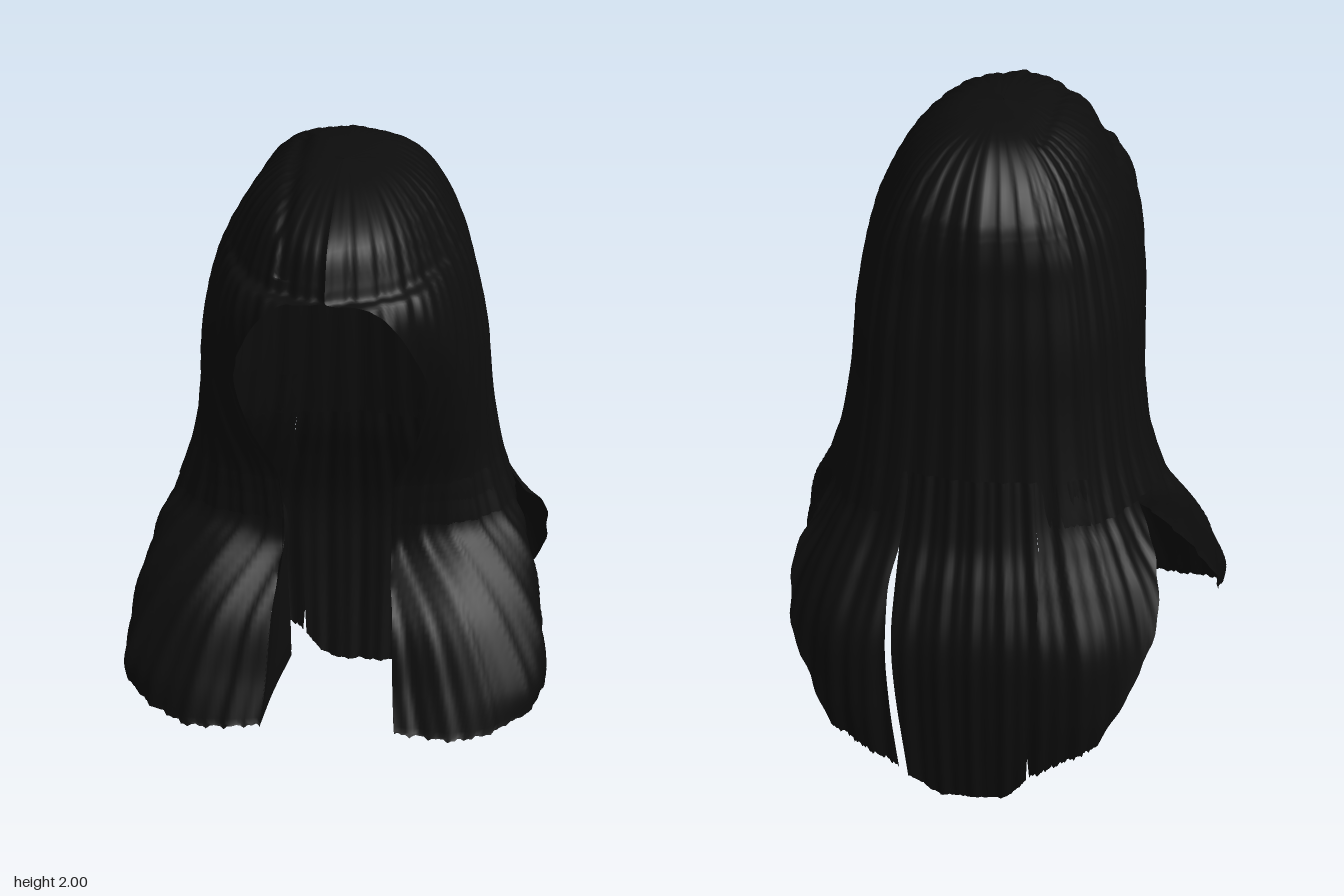
import * as THREE from 'three';

const hair = new THREE.MeshStandardMaterial({ color: 0x0d0d0d, side: THREE.DoubleSide });
hair.name = 'black hair';

// Fine vertical strands: a radial ripple that depends on the angle round the head
function strand(p) {
  const d = Math.hypot(p.x, p.z);
  const a = Math.atan2(p.x, p.z);
  const r = (0.004 * Math.sin(34 * a) + 0.003 * Math.sin(71 * a + 1)) * Math.min(1, d / 0.35);
  if (d > 1e-4) {
    p.x += (p.x / d) * r;
    p.z += (p.z / d) * r;
  }
  // side parting on the crown
  if (p.y > 1.8 && p.z > -0.1) p.y -= 0.018 * Math.exp(-(((p.x + 0.14) / 0.02) ** 2));
  return p;
}

// Smooth sheet through rows of [x, y, z] points; side = -1 mirrors it, 0 spans both halves
function sheet(name, rows, side, { nu = 60, nv = 44, hem = 0.015, ripple = true } = {}) {
  const across = rows.map(r => new THREE.CatmullRomCurve3(r.map(p => new THREE.Vector3(...p))));
  const pos = [], idx = [];
  for (let i = 0; i <= nu; i++) {
    const down = new THREE.CatmullRomCurve3(across.map(c => c.getPoint(i / nu)));
    for (let j = 0; j <= nv; j++) {
      const p = down.getPoint(j / nv);
      if (side !== 0) p.x = Math.max(0, p.x) * side;
      if (ripple) strand(p);
      // ragged tips
      if (j === nv) p.y += hem * (0.5 + 0.5 * Math.sin(i * 1.9) * Math.cos(i * 0.7));
      pos.push(p.x, p.y, p.z);
      if (i < nu && j < nv) {
        const a = i * (nv + 1) + j, b = a + nv + 1;
        if (side < 0) idx.push(a, b, a + 1, b, b + 1, a + 1);
        else idx.push(a, a + 1, b, b, a + 1, b + 1);
      }
    }
  }
  const g = new THREE.BufferGeometry();
  g.setAttribute('position', new THREE.Float32BufferAttribute(pos, 3));
  g.setIndex(idx);
  g.computeVertexNormals();
  const m = new THREE.Mesh(g, hair);
  m.name = name;
  return m;
}

// Level row from [x, z] pairs
const level = (y, ...pts) => pts.map(([x, z]) => [x, y, z]);

// Half outline of the head: front edge, temple, side, behind ear, back corner, back centre
const headRow = ([y, frontX, frontZ, width, sideZ, backZ]) => {
  const back = t => sideZ + (backZ - sideZ) * t;
  return level(y,
    [frontX, frontZ],
    [frontX + (width - frontX) * 0.65, frontZ + (sideZ - frontZ) * 0.27],
    [width, sideZ],
    [width * 0.93, back(0.45)],
    [width * 0.73, back(0.83)],
    [0, backZ]);
};

// y, front edge x and z, half width and its z, back z
const headRows = [
  [2.0, 0, 0.102, 0.002, 0.1, 0.098],
  [1.975, 0, 0.31, 0.15, 0.12, -0.15],
  [1.9, 0, 0.49, 0.25, 0.14, -0.27],
  [1.8, 0, 0.54, 0.31, 0.15, -0.35],
  [1.76, 0, 0.555, 0.33, 0.15, -0.365],
  [1.74, 0.13, 0.55, 0.34, 0.15, -0.37],
  [1.68, 0.2, 0.54, 0.365, 0.14, -0.38],
  [1.58, 0.25, 0.5, 0.39, 0.12, -0.385],
  [1.4, 0.29, 0.4, 0.415, 0.07, -0.4],
  [1.2, 0.25, 0.33, 0.425, 0.05, -0.41],
  [1.0, 0.17, 0.26, 0.45, 0.04, -0.43],
  [0.86, 0.16, 0.245, 0.49, 0.06, -0.45],
].map(headRow);

// Forward lock falling over the shoulder
const frontRows = [
  ...headRows.slice(-2).map(r => r.slice(0, 4)),
  level(0.78, [0.16, 0.25], [0.37, 0.25], [0.535, 0.1], [0.48, -0.08]),
  level(0.6, [0.18, 0.4], [0.41, 0.385], [0.59, 0.23], [0.565, 0.08]),
  level(0.42, [0.19, 0.46], [0.43, 0.46], [0.61, 0.35], [0.615, 0.23]),
  [[0.2, 0.3, 0.51], [0.42, 0.29, 0.5], [0.59, 0.34, 0.38], [0.61, 0.36, 0.28]],
];

// Inner wall of the forward lock, running back from its front edge beside the neck
const innerRows = [
  level(1.0, [0.17, 0.26], [0.33, 0.08], [0.41, -0.13]),
  level(0.86, [0.16, 0.245], [0.28, 0.05], [0.33, -0.15]),
  level(0.75, [0.16, 0.27], [0.2, 0.11], [0.19, -0.04]),
  level(0.6, [0.18, 0.4], [0.18, 0.22], [0.17, 0.06]),
  level(0.42, [0.19, 0.46], [0.18, 0.3], [0.15, 0.14]),
  [[0.2, 0.3, 0.51], [0.18, 0.325, 0.33], [0.15, 0.345, 0.135]],
];

// Side panel of the back; gap opens a slit beside the middle panel
const backSideRows = gap => [
  level(1.0, [0.418, -0.17], [0.33, -0.35], [0.19, -0.4]),
  level(0.86, [0.455, -0.17], [0.36, -0.36], [0.2, -0.425]),
  level(0.78, [0.49, -0.2], [0.4, -0.38], [0.21, -0.445]),
  level(0.66, [0.545, -0.31], [0.42, -0.44], [0.215 + gap, -0.49]),
  level(0.5, [0.54, -0.41], [0.4, -0.51], [0.215 + gap, -0.54]),
  level(0.3, [0.45, -0.49], [0.34, -0.53], [0.2 + gap, -0.535]),
  [[0.39, 0.19, -0.5], [0.3, 0.14, -0.515], [0.195, 0.08, -0.51]],
];

// Middle panel of the back, the longest
const middleRows = [
  [1.0, 0.19, -0.4, -0.43], [0.86, 0.2, -0.425, -0.45], [0.78, 0.21, -0.445, -0.465],
  [0.66, 0.215, -0.49, -0.51], [0.5, 0.215, -0.535, -0.55], [0.3, 0.2, -0.53, -0.54],
].map(([y, x, edgeZ, centreZ]) => {
  const midZ = (edgeZ + centreZ) / 2 - 0.004;
  return level(y, [-x, edgeZ], [-x / 2, midZ], [0, centreZ], [x / 2, midZ], [x, edgeZ]);
});
middleRows.push([[-0.185, 0.07, -0.51], [-0.12, 0.01, -0.5], [0, 0, -0.5], [0.08, 0.005, -0.5], [0.165, 0.06, -0.51]]);

export function createModel() {
  const group = new THREE.Group();
  group.name = 'longHair';
  for (const side of [1, -1]) {
    const s = side > 0 ? 'left' : 'right';
    group.add(
      sheet(s + 'HeadHair', headRows, side, { nu: 110, nv: 70, hem: 0 }),
      sheet(s + 'FrontLock', frontRows, side),
      sheet(s + 'FrontLockInside', innerRows, side, { nu: 16, hem: 0, ripple: false }),
      sheet(s + 'BackPanel', backSideRows(side > 0 ? 0.02 : -0.015), side, { nu: 40 }),
    );
  }
  group.add(sheet('middleBackPanel', middleRows, 0, { nu: 50, hem: 0.006 }));
  return group;
}
